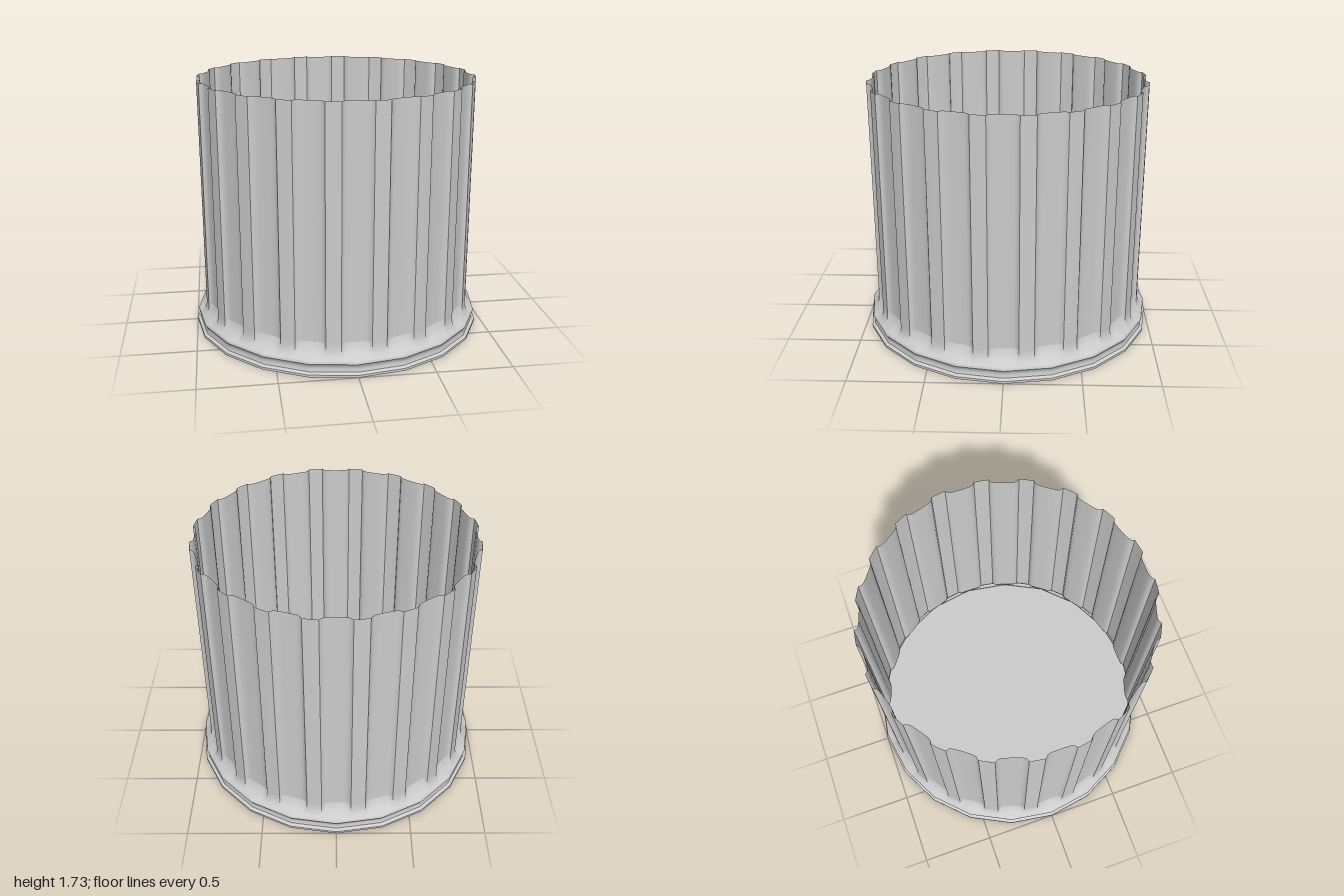
import * as THREE from 'three';
import { toCreasedNormals } from 'three/addons/utils/BufferGeometryUtils.js';

const FLUTES = 20;
const STEP = 360 / FLUTES;
const RIM = 0.935;

// One flute and the ridge beside it: [degrees from flute centre, radius]
const FLUTE = [
  [-6, RIM], [-5.2, 0.917], [-4, 0.909], [-2, 0.906], [0, 0.905], [2, 0.906],
  [4, 0.909], [5.2, 0.917], [6, RIM], [9, RIM],
];

// Radius of a regular polygon with a corner at each flute centre
function polygonRadius(deg, corner) {
  const half = THREE.MathUtils.degToRad(STEP / 2);
  const a = THREE.MathUtils.degToRad(Math.abs(deg));
  return corner * Math.cos(half) / Math.cos(half - a);
}

// Lofts rows [y, polygon corner radius, blend from fluted (0) to polygon (1)]
function loft(rows) {
  const n = FLUTES * FLUTE.length;
  const positions = [];
  const index = [];
  for (const [y, corner, blend] of rows) {
    for (let f = 0; f < FLUTES; f++) {
      for (const [deg, r] of FLUTE) {
        const radius = THREE.MathUtils.lerp(r, polygonRadius(deg, corner), blend);
        const a = THREE.MathUtils.degToRad(f * STEP + deg);
        positions.push(radius * Math.sin(a), y, radius * Math.cos(a));
      }
    }
  }
  for (let i = 0; i < rows.length - 1; i++) {
    for (let j = 0; j < n; j++) {
      const k = (j + 1) % n;
      const a = i * n + j, b = i * n + k, c = a + n, d = b + n;
      index.push(a, b, d, a, d, c);
    }
  }
  const geometry = new THREE.BufferGeometry();
  geometry.setAttribute('position', new THREE.Float32BufferAttribute(positions, 3));
  geometry.setIndex(index);
  return toCreasedNormals(geometry, 0.65);
}

export function createModel() {
  const group = new THREE.Group();
  group.name = 'flutedColumnDrum';
  const material = new THREE.MeshStandardMaterial({ color: 0xcccccc, side: THREE.DoubleSide });

  const add = (name, geometry) => {
    const mesh = new THREE.Mesh(geometry, material);
    mesh.name = name;
    group.add(mesh);
  };

  // Open-topped shaft with its flutes
  add('flutedShaft', loft([[0.2, 1, 0], [1.73, 1, 0]]));

  // Flare where the flutes run out into the base
  add('flaredFoot', loft([
    [0.1, 0.985, 1], [0.115, 0.972, 0.93], [0.135, 0.962, 0.65],
    [0.165, 0.95, 0.3], [0.2, 0.94, 0],
  ]));

  // Twenty-sided base with a shallow cove
  add('baseMoulding', loft([
    [0, 1, 1], [0.016, 1, 1], [0.028, 0.98, 1], [0.05, 0.973, 1],
    [0.07, 0.978, 1], [0.085, 0.99, 1], [0.1, 0.985, 1],
  ]));

  // Closed underside
  add('bottomCap', new THREE.CircleGeometry(1, FLUTES).rotateX(Math.PI / 2));

  return group;
}
